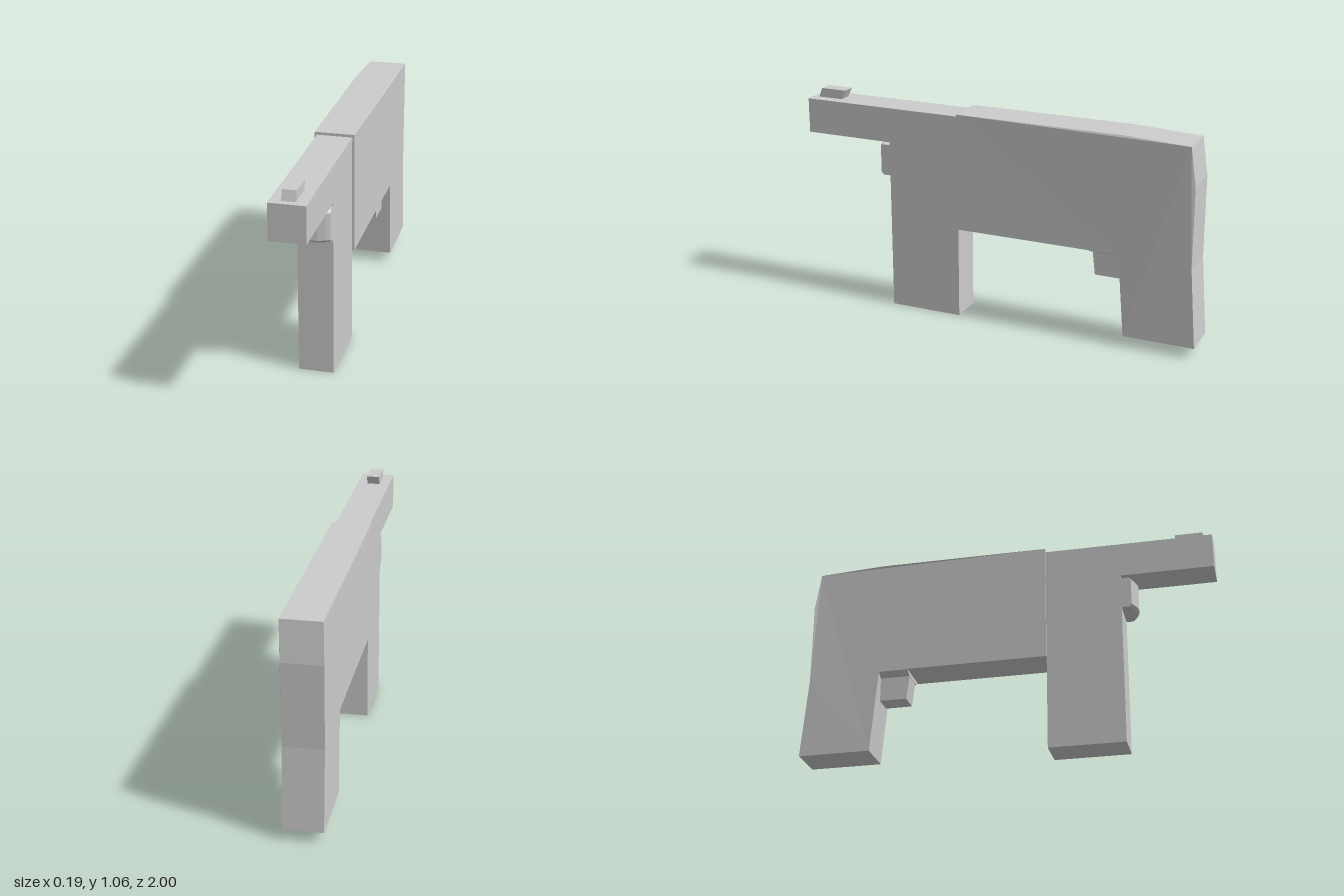
import * as THREE from 'three';
import { ConvexGeometry } from 'three/addons/geometries/ConvexGeometry.js';

const material = new THREE.MeshStandardMaterial({ color: 0xcccccc, flatShading: true });

// Side profile given as [z, y] points, extruded from x0 to x1
function slab(profile, x0, x1) {
  const shape = new THREE.Shape(profile.map(([z, y]) => new THREE.Vector2(z, y)));
  const geometry = new THREE.ExtrudeGeometry(shape, { depth: x1 - x0, bevelEnabled: false });
  return geometry.rotateY(-Math.PI / 2).translate(x1, 0, 0);
}

export function createModel() {
  const model = new THREE.Group();
  const cx = -0.005;

  function add(name, geometry) {
    const mesh = new THREE.Mesh(geometry, material);
    mesh.name = name;
    model.add(mesh);
  }

  // Front block: long upper bar and straight lower post
  add('frontFrame', slab([
    [0.195, 0], [0.557, 0], [0.557, 0.845], [1, 0.845], [1, 1.015], [0.195, 1.015],
  ], -0.087, 0.077));

  // Rear block with the slanted handle
  const rear = slab([
    [0.195, 0.455], [0.195, 1.028], [-0.62, 1.028], [-0.945, 1.015], [-0.97, 0.83],
    [-0.97, 0.44], [-1, 0.052], [-0.655, 0.052], [-0.623, 0.445], [-0.61, 0.455],
  ], -0.098, 0.088);
  // The upper rear corner leans slightly sideways
  const p = rear.attributes.position;
  for (let i = 0; i < p.count; i++) {
    if (p.getZ(i) < -0.9 && p.getY(i) > 1) p.setX(i, p.getX(i) + 0.007);
  }
  rear.computeVertexNormals();
  add('rearBody', rear);

  // Shallow swelling under the body, above the trigger
  const swell = [];
  for (const z of [-0.48, -0.625]) {
    for (const [half, y] of [[0.093, 0.47], [0.093, 0.453], [0.06, 0.437]]) {
      for (const s of [-1, 1]) swell.push(new THREE.Vector3(cx + s * half, y, z));
    }
  }
  add('underside', new ConvexGeometry(swell));

  // Trigger
  add('trigger', slab([[-0.48, 0.45], [-0.625, 0.45], [-0.625, 0.32], [-0.495, 0.32]], -0.054, 0.044));

  // Rounded knob on the front post, beneath the bar
  const knob = [];
  for (const [y, inset] of [[0.677, 0.012], [0.69, 0], [0.817, 0], [0.83, 0.012]]) {
    for (const x of [-0.082, -0.06, -0.03, 0, 0.03, 0.06, 0.082]) {
      const front = 0.63 - 0.025 * (x / 0.082) ** 2 - inset;
      knob.push(new THREE.Vector3(cx + x, y, front), new THREE.Vector3(cx + x, y, 0.54));
    }
  }
  add('frontKnob', new ConvexGeometry(knob));

  // Raked block on top of the bar
  add('topSight', slab([[0.845, 1.01], [0.97, 1.01], [0.952, 1.06], [0.82, 1.06]], -0.037, 0.026));

  return model;
}
